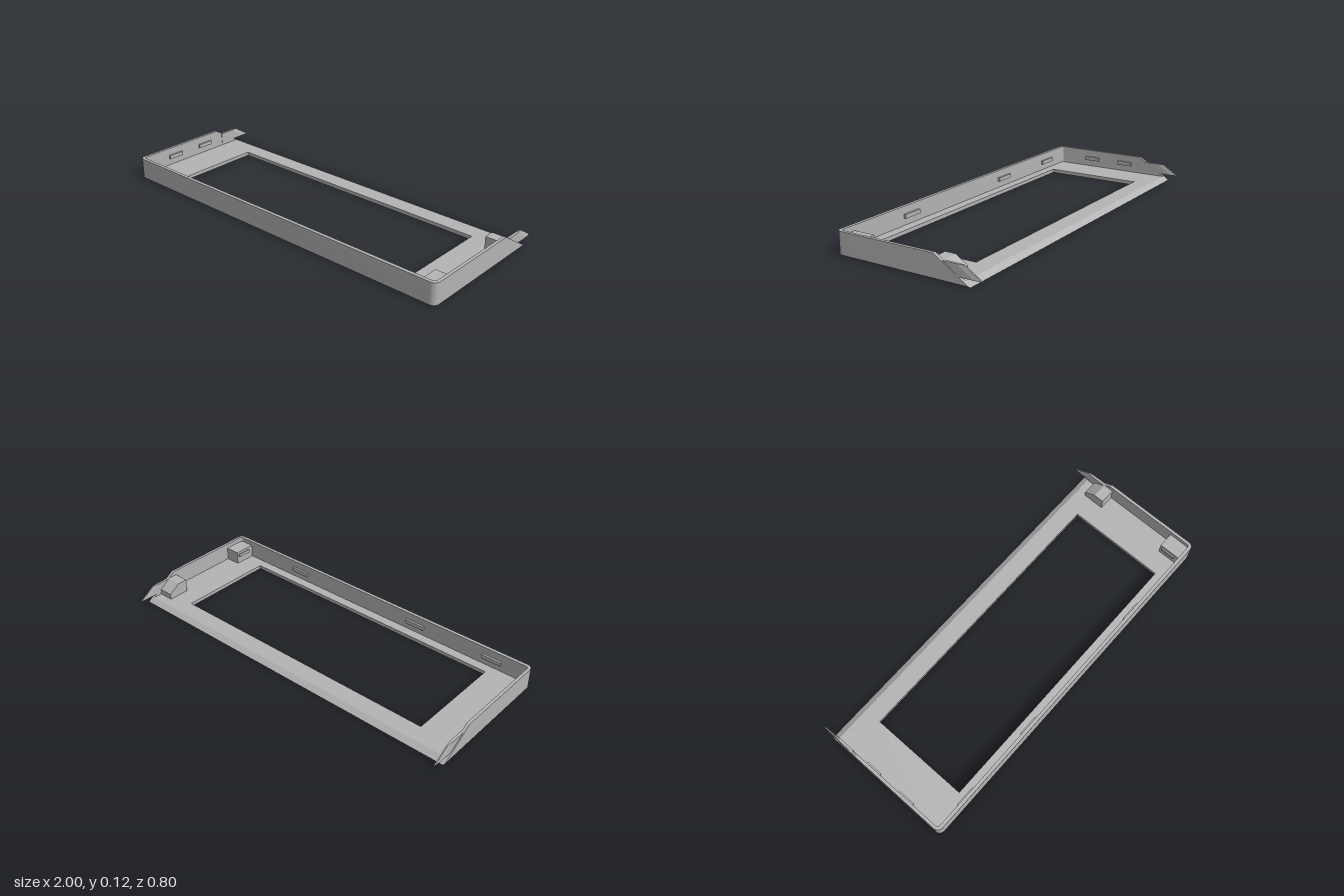
import * as THREE from 'three';
import { toCreasedNormals } from 'three/addons/utils/BufferGeometryUtils.js';

const HEIGHT = 0.118, FLOOR = 0.02, CHAMFER = 0.005;
const BACK = -0.34, SLOPE = 1.568; // back ends lean forward as they rise

export function createModel() {
  const group = new THREE.Group();
  const grey = new THREE.MeshStandardMaterial({ color: 0xb3b3b3 });

  const add = (name, geometry) => {
    const mesh = new THREE.Mesh(geometry, grey);
    mesh.name = name;
    group.add(mesh);
    return mesh;
  };
  const box = (name, x0, x1, y0, y1, z0, z1) =>
    add(name, new THREE.BoxGeometry(x1 - x0, y1 - y0, z1 - z0))
      .position.set((x0 + x1) / 2, (y0 + y1) / 2, (z0 + z1) / 2);

  // Moves every vertex by a rule, then renews the normals
  const reshape = (geometry, rule) => {
    const p = geometry.attributes.position, v = new THREE.Vector3();
    for (let i = 0; i < p.count; i++) {
      rule(v.fromBufferAttribute(p, i));
      p.setXYZ(i, v.x, v.y, v.z);
    }
    return toCreasedNormals(geometry, 0.5);
  };

  // Plan shapes use x and -z, and are extruded upwards
  const extrudeUp = (shape, y0, y1) =>
    new THREE.ExtrudeGeometry(shape, { depth: y1 - y0, bevelEnabled: false, curveSegments: 8 })
      .rotateX(-Math.PI / 2).translate(0, y0, 0);
  const leanBack = (v) => { if (v.z < -0.3) v.z = BACK + v.y * SLOPE; };

  // Floor frame with rounded front corners and a window
  const floorShape = () => {
    const s = new THREE.Shape();
    const r = 0.03;
    s.moveTo(1, -BACK).lineTo(-1, -BACK).lineTo(-1, -0.4 + r);
    s.absarc(-1 + r, -0.4 + r, r, Math.PI, Math.PI * 1.5, false);
    s.absarc(1 - r, -0.4 + r, r, Math.PI * 1.5, Math.PI * 2, false);
    s.closePath();
    const hole = new THREE.Path();
    hole.moveTo(-0.785, -0.33).lineTo(-0.785, 0.215).lineTo(0.782, 0.215).lineTo(0.782, -0.33).closePath();
    s.holes.push(hole);
    return s;
  };
  add('floorFrame', reshape(extrudeUp(floorShape(), CHAMFER, FLOOR), leanBack));
  add('bottomChamfer', reshape(extrudeUp(floorShape(), 0, CHAMFER), (v) => {
    leanBack(v);
    if (v.y < 0.001) {
      if (Math.abs(v.x) > 0.9) v.x *= 1 - CHAMFER;
      if (v.z > 0.36) v.z -= CHAMFER;
    }
  }));

  // U-shaped rim, open at the back
  const rim = new THREE.Shape();
  const ro = 0.03, ri = 0.015, inX = 0.984, inZ = 0.382;
  rim.moveTo(-1, -BACK).lineTo(-1, -0.4 + ro);
  rim.absarc(-1 + ro, -0.4 + ro, ro, Math.PI, Math.PI * 1.5, false);
  rim.absarc(1 - ro, -0.4 + ro, ro, Math.PI * 1.5, Math.PI * 2, false);
  rim.lineTo(1, -BACK).lineTo(inX, -BACK).lineTo(inX, -inZ + ri);
  rim.absarc(inX - ri, -inZ + ri, ri, 0, -Math.PI / 2, true);
  rim.absarc(-inX + ri, -inZ + ri, ri, -Math.PI / 2, -Math.PI, true);
  rim.lineTo(-inX, -BACK).closePath();
  add('rimWall', reshape(extrudeUp(rim, FLOOR, HEIGHT), leanBack));

  // Side profiles use -z and y, and are extruded along x
  const extrudeAcross = (points, x0, x1) =>
    new THREE.ExtrudeGeometry(new THREE.Shape(points.map((p) => new THREE.Vector2(...p))),
      { depth: x1 - x0, bevelEnabled: false }).rotateY(Math.PI / 2).translate(x0, 0, 0);

  // Slanted tabs that reach out behind the side walls, with thinned tips
  for (const side of [-1, 1]) {
    const x0 = side > 0 ? 0.981 : -0.995, x1 = x0 + 0.014, mid = (x0 + x1) / 2;
    add('rearTab', extrudeAcross([[0.19, 0.035], [0.36, 0.035], [0.27, 0.092], [0.19, 0.092]], x0, x1));
    add('rearTabTip', reshape(
      extrudeAcross([[0.36, 0.035], [0.398, 0.035], [0.308, 0.092], [0.27, 0.092]], x0, x1),
      (v) => {
        const tipZ = v.y < 0.06 ? -0.38 : -0.29;
        if (v.z < tipZ) v.x = mid + (v.x - mid) * 0.45;
      }));
  }

  // Blocks inside one end wall
  add('slopedBlock', extrudeAcross(
    [[0.14, FLOOR], [0.26, FLOOR], [0.26, 0.051], [0.197, 0.092], [0.14, 0.092]], 0.9, 0.985));
  box('cornerBlock', 0.9, 0.985, FLOOR, 0.092, 0.262, 0.383);
  box('cornerBlockCatch', 0.892, 0.901, 0.06, 0.078, 0.275, 0.355);

  // Small catches along the front and end walls
  for (const x of [-0.785, -0.315, 0.5]) box('frontCatch', x - 0.055, x + 0.055, 0.056, 0.078, 0.37, 0.383);
  for (const z of [-0.055, 0.165]) box('sideCatch', -0.985, -0.974, 0.056, 0.078, z - 0.045, z + 0.045);

  return group;
}
